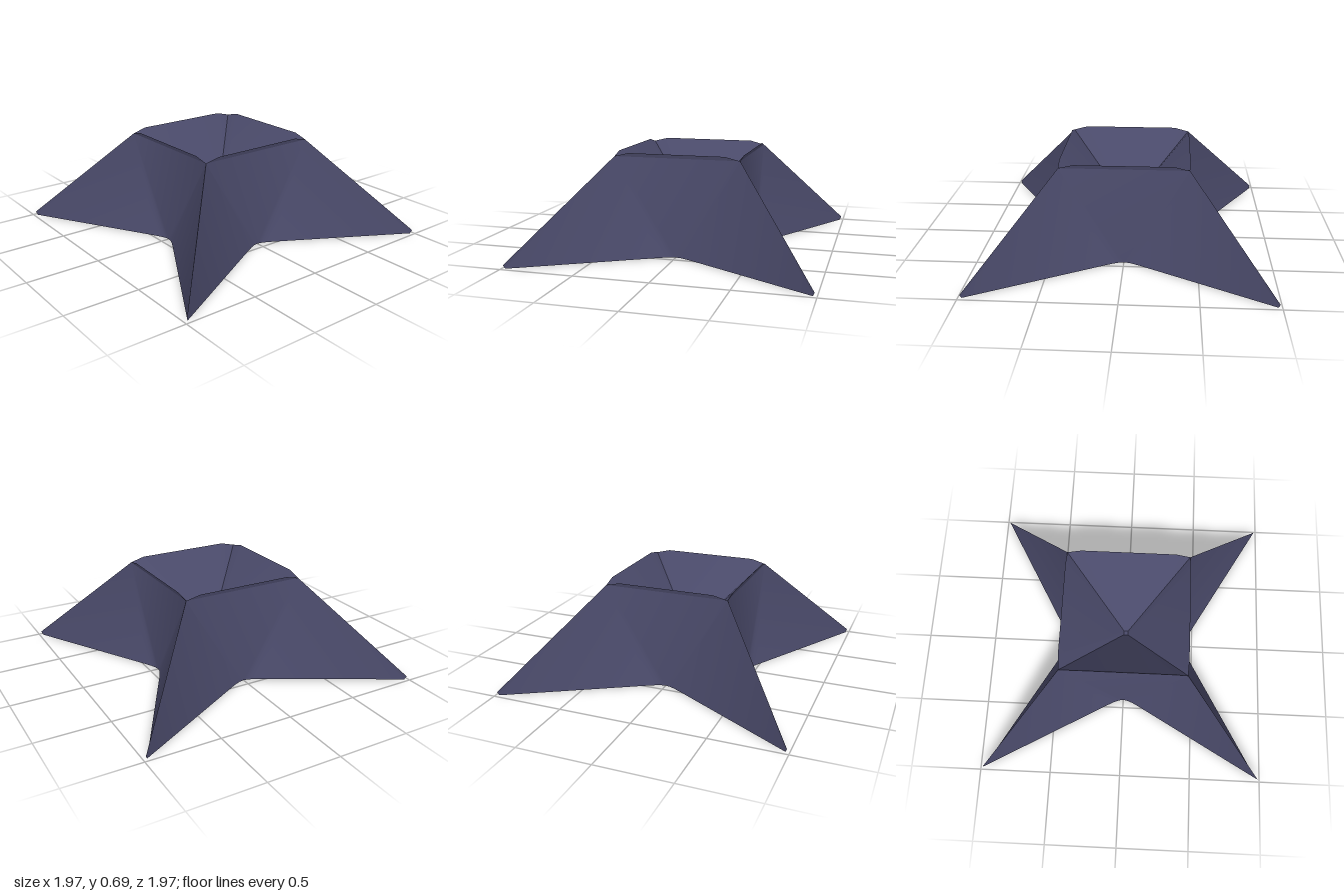
import * as THREE from 'three';
import { toCreasedNormals } from 'three/addons/utils/BufferGeometryUtils.js';

const material = new THREE.MeshStandardMaterial({ color: 0x4a4a6a });

// Fan of triangles from one apex across a line of points (counter-clockwise from outside)
function fan(out, apex, line) {
  for (let i = 0; i < line.length - 1; i++) out.push(apex, line[i], line[i + 1]);
}

// Repeats one front quarter four times around y
function fourSided(name, tris) {
  const pos = [];
  for (let k = 0; k < 4; k++) {
    const c = Math.round(Math.cos(k * Math.PI / 2)), s = Math.round(Math.sin(k * Math.PI / 2));
    for (const [x, y, z] of tris) pos.push(x * c + z * s, y, z * c - x * s);
  }
  const geo = new THREE.BufferGeometry();
  geo.setAttribute('position', new THREE.Float32BufferAttribute(pos, 3));
  const mesh = new THREE.Mesh(toCreasedNormals(geo, 0.6), material);
  mesh.name = name;
  return mesh;
}

export function createModel() {
  const group = new THREE.Group();
  group.name = 'starDish';
  const mirror = ([x, y, z]) => [-x, y, z];
  const mirrorLine = (line) => line.map(mirror).reverse();

  // Key points of the right half of the front side
  const corner = [0.43, 0.67, 0.43];
  const tip = [0.985, 0.025, 0.985], foot = [0.975, 0, 0.975];
  const waist = [[0, 0, 0.44], [0.035, 0, 0.447], [0.07, 0, 0.462], [0.11, 0, 0.483]];

  // Walls: a triangle below each rim edge, running out into the pointed arms
  const walls = [];
  const wallLine = [...waist, foot, tip];
  fan(walls, corner, wallLine);
  fan(walls, mirror(corner), mirrorLine(wallLine));
  walls.push(corner, mirror(corner), waist[0]);
  group.add(fourSided('starWalls', walls));

  // Flat star-shaped underside
  const base = [];
  const edge = [...waist, foot];
  fan(base, [0, 0, 0], [...edge].reverse());
  fan(base, [0, 0, 0], edge.map(mirror));
  group.add(fourSided('underside', base));

  // Thin overhanging rim, dropping to meet the walls at the corners
  const lip = [0.33, 0.695, 0.435];
  const rim = [corner, lip, mirror(lip)];
  fan(rim, mirror(corner), [corner, mirror(lip)]);
  group.add(fourSided('rim', rim));

  // Sunken dish: four sloping panels down to a small flat square
  const floorY = 0.25, f = 0.015;
  const a = [-f, floorY, f], b = [f, floorY, f];
  const dish = [];
  fan(dish, a, [mirror(corner), mirror(lip), lip, b]);
  dish.push(b, lip, corner);
  dish.push([0, floorY, 0], a, b);
  group.add(fourSided('dish', dish));

  return group;
}
